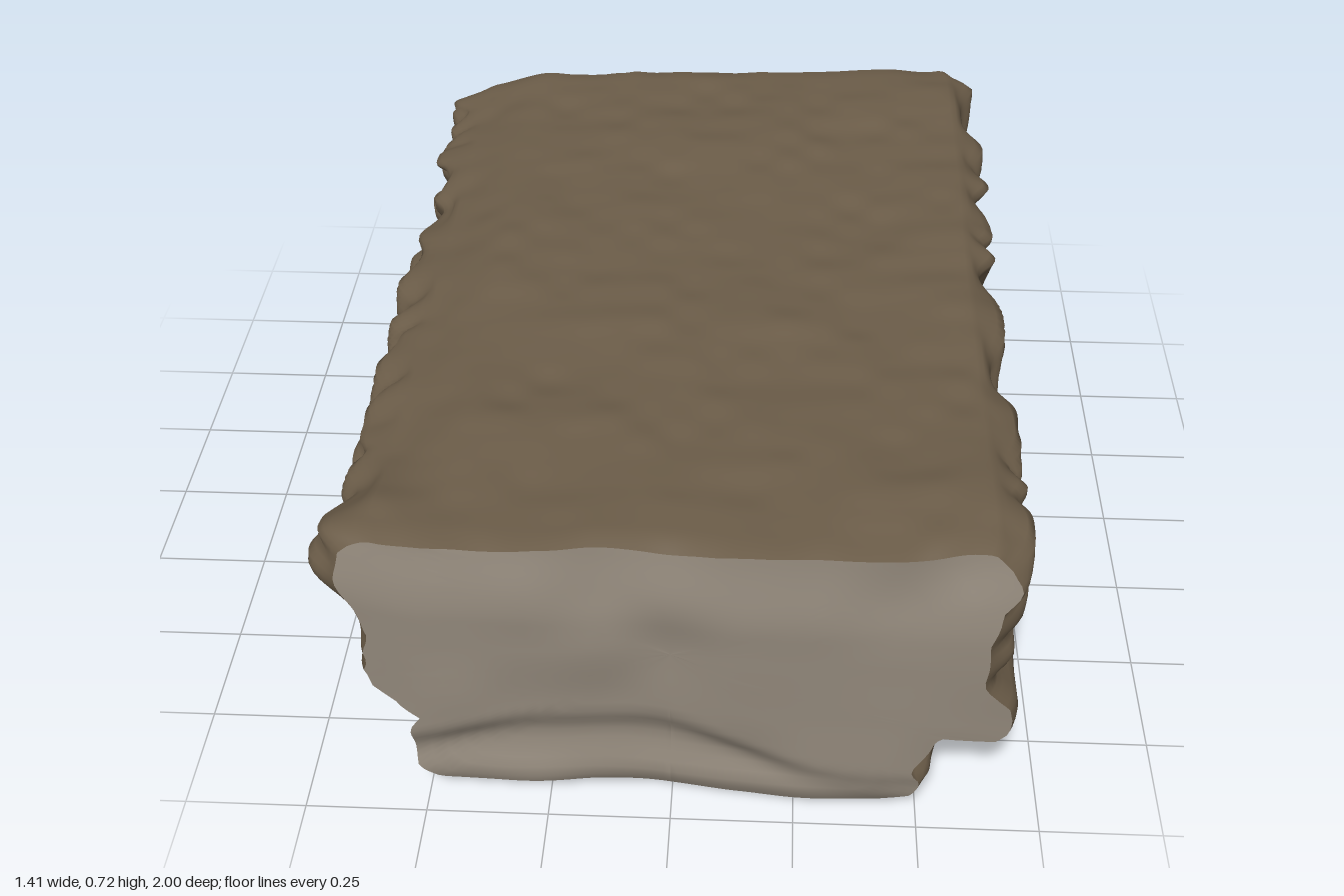
import * as THREE from 'three';

const AROUND = 250, ALONG = 165, RINGS = 16;
const { clamp, lerp, smoothstep } = THREE.MathUtils;
const bump = (d, w) => Math.exp(-(d * d) / (w * w));

// Seeded value noise for the weathering
function hash(x, y, z) {
  const s = Math.sin(x * 127.1 + y * 311.7 + z * 74.7) * 43758.5453;
  return s - Math.floor(s);
}
function noise(x, y, z) {
  const i = [x, y, z].map(Math.floor);
  const [u, v, w] = [x - i[0], y - i[1], z - i[2]].map(f => f * f * (3 - 2 * f));
  const h = (a, b, c) => hash(i[0] + a, i[1] + b, i[2] + c);
  const face = c => lerp(lerp(h(0, 0, c), h(1, 0, c), u), lerp(h(0, 1, c), h(1, 1, c), u), v);
  return lerp(face(0), face(1), w) * 2 - 1;
}

// Cross-section, counter-clockwise seen from +z
const SECTION = [
  [0.44, 0.04], [0.5, 0.06], [0.53, 0.11], [0.53, 0.235], [0.545, 0.255], [0.655, 0.25],
  [0.68, 0.275], [0.685, 0.31], [0.675, 0.345], [0.65, 0.365], [0.625, 0.39], [0.625, 0.46],
  [0.64, 0.6], [0.655, 0.675], [0.62, 0.705], [0.3, 0.69], [0, 0.678], [-0.3, 0.67], [-0.59, 0.668],
  [-0.645, 0.625], [-0.645, 0.56], [-0.63, 0.43], [-0.66, 0.385], [-0.665, 0.335], [-0.62, 0.295],
  [-0.545, 0.26], [-0.525, 0.23], [-0.525, 0.07], [-0.49, 0.04], [0, 0.035],
];

// Evenly spaced points round the section
function sampleSection() {
  const path = new THREE.CurvePath();
  const pts = SECTION.map(p => new THREE.Vector2(...p));
  pts.forEach((p, i) => path.add(new THREE.LineCurve(p, pts[(i + 1) % pts.length])));
  return Array.from({ length: AROUND }, (_, i) => path.getPointAt(i / AROUND));
}

// Scrolling vine stems on the upper band, as (z, y) curves
const STEMS = [
  [[0.97, 0.62], [0.86, 0.67], [0.78, 0.58], [0.84, 0.49], [0.93, 0.45]],
  [[0.74, 0.66], [0.66, 0.56], [0.7, 0.47], [0.58, 0.43]],
  [[0.62, 0.65], [0.54, 0.68], [0.45, 0.64], [0.46, 0.57]],
  [[0.5, 0.42], [0.36, 0.45], [0.32, 0.57], [0.2, 0.66], [0.06, 0.64], [0, 0.54], [0.06, 0.45]],
  [[-0.1, 0.67], [-0.16, 0.56], [-0.26, 0.47], [-0.4, 0.43]],
  [[-0.2, 0.66], [-0.32, 0.62], [-0.42, 0.53], [-0.55, 0.48], [-0.63, 0.52]],
  [[-0.42, 0.67], [-0.52, 0.62], [-0.62, 0.66], [-0.7, 0.58], [-0.72, 0.45]],
  [[-0.95, 0.66], [-0.84, 0.6], [-0.77, 0.5], [-0.88, 0.43]],
].map(s => new THREE.SplineCurve(s.map(p => new THREE.Vector2(...p))).getPoints(45));

// Leaf bodies: z, y, half length, half height
const LEAVES = [[0.9, 0.56, 0.09, 0.09], [0.18, 0.53, 0.14, 0.08], [0.55, 0.49, 0.07, 0.06],
  [-0.3, 0.54, 0.07, 0.05], [-0.55, 0.57, 0.1, 0.05], [-0.88, 0.53, 0.09, 0.08], [0.64, 0.63, 0.06, 0.05]];

function vine(z, y) {
  let d = 1;
  for (const stem of STEMS) for (const p of stem) d = Math.min(d, Math.hypot(p.x - z, p.y - y));
  let h = 0.045 * bump(d, 0.042);
  for (const [cz, cy, a, b] of LEAVES) {
    const r = Math.hypot((z - cz) / a, (y - cy) / b);
    h = Math.max(h, 0.045 * (1 - smoothstep(r, 0.4, 1.2)));
  }
  return h - 0.012 - 0.035 * bump(Math.hypot(z - 0.48, y - 0.6), 0.03);
}

// Slanted leaf tongues along the lower band
function tongue(z, y) {
  const s = (z + 0.03 + (y - 0.25) * 0.45) / 0.237;
  const f = s - Math.floor(s);
  const groove = bump(f, 0.14) + bump(f - 1, 0.08);
  return 0.016 * bump(f - 0.4, 0.25) - 0.045 * groove * smoothstep(y, 0.08, 0.16) - 0.004;
}

// Carved foliage on the sunk underside: fans of ribs around a centre
function foliage(x, z) {
  const r = Math.hypot(x, z * 0.65), a = Math.atan2(x, z * 0.65);
  const ribs = Math.sin(7 * a + 9 * r) * smoothstep(r, 0.05, 0.2);
  const arcs = Math.sin(30 * r + 1.5 * Math.sin(3 * a));
  const panel = (1 - smoothstep(Math.abs(x), 0.34, 0.45)) * (1 - smoothstep(Math.abs(z), 0.75, 0.95));
  return (0.016 + 0.012 * ribs + 0.009 * arcs) * panel;
}

// Rough end faces
function frontZ(x, y) {
  const lip = 0.235 - 0.12 * smoothstep(x, -0.05, 0.4) - 0.08 * (1 - smoothstep(x, -0.6, -0.25));
  const hollow = smoothstep(lip - y, -0.03, 0.05) * smoothstep(y, 0.03, 0.18);
  return 0.97 + 0.022 * smoothstep(x, -0.4, 0.3) - 0.028 * smoothstep(y, 0.5, 0.71)
    - 0.035 * (1 - smoothstep(x, -0.66, -0.45)) - 0.03 * hollow - 0.02 * bump(x + 0.05, 0.14)
    - 0.03 * (1 - smoothstep(y, 0.02, 0.09)) + 0.008 * noise(x * 7, y * 7, 3);
}
function backZ(x, y) {
  return -0.993 + 0.016 * smoothstep(y, 0.45, 0.71) + 0.006 * noise(x * 6, y * 6, 9)
    + 0.008 * bump(x + 0.22, 0.02);
}

// Carve, weather and place one point of the section at t along the length
function surfacePoint(p, t) {
  let { x, y } = p;
  const z = lerp(-0.985, 0.98, t), side = Math.sign(x), zs = z * side;
  const upper = smoothstep(y, 0.375, 0.42) * (1 - smoothstep(y, 0.675, 0.7)) * smoothstep(Math.abs(x), 0.58, 0.62);
  const lower = smoothstep(y, 0.045, 0.09) * (1 - smoothstep(y, 0.22, 0.25)) * smoothstep(Math.abs(x), 0.46, 0.52);
  const under = 1 - smoothstep(p.y, 0.04, 0.07);
  const top = smoothstep(p.y, 0.64, 0.665);
  if (upper > 0) x += side * upper * vine(zs, y);
  if (lower > 0) x += side * lower * tongue(zs, y);
  // upper right edge stands out further toward the back
  x += 0.008 * smoothstep(p.x, 0.5, 0.62) * smoothstep(p.y, 0.58, 0.66) * smoothstep(-z, 0.1, 0.35);
  // left roll broken away near the front, with a swollen leaf above
  const left = smoothstep(-p.x, 0.5, 0.58);
  x += left * (0.045 * bump(p.y - 0.35, 0.06) * smoothstep(z, 0.45, 0.75)
    - 0.035 * bump(p.y - 0.56, 0.07) * smoothstep(z, 0.72, 0.93));
  // sagging underside
  y += (1 - smoothstep(p.y, 0.03, 0.2)) * (-0.03 * bump(z - 0.6, 0.3) * bump(p.x - 0.08, 0.35)
    + 0.025 * smoothstep(-z, 0.4, 1) + 0.006 * Math.cos(z * 26.5));
  // foliage panel and tilted roll
  y += under * foliage(x, z) + (0.008 - 0.02 * z) * bump(p.y - 0.31, 0.09) * smoothstep(p.x, 0.5, 0.56);
  // worn upper left edge
  y -= 0.045 * smoothstep(-p.x, 0.42, 0.62) * smoothstep(p.y, 0.5, 0.66) * (1 - smoothstep(z, 0.65, 0.95));
  // lower left edge worn back, with a deeper chip near the back
  const worn = 0.4 * smoothstep(z, -0.95, -0.8) * (1 - smoothstep(z, 0.82, 0.97)) + 0.75 * bump(z + 0.78, 0.12);
  const chip = worn * smoothstep(-p.x, 0.25, 0.5) * (1 - smoothstep(p.y, 0.1, 0.25));
  y += 0.1 * chip;
  x += 0.055 * chip;
  const rough = 0.011 * noise(p.x * 5, p.y * 5, z * 5) + 0.005 * noise(p.x * 14, p.y * 14, z * 14);
  x += side * rough * (1 - top) * (side < 0 ? 1.6 : 0.6);
  y += rough * (top + under * 0.8);
  // worn arrises at both ends
  const wear = 1 - 0.025 * Math.pow(clamp(1 - Math.min(t, 1 - t) / 0.03, 0, 1), 2);
  x *= wear;
  y = 0.4 + (y - 0.4) * wear;
  return [x, Math.max(y, 0), lerp(backZ(x, y), frontZ(x, y), t)];
}

// Surface through closed rings of equal length
function skin(rings, flip = false) {
  const index = [];
  for (let j = 0; j < rings.length - 1; j++) for (let i = 0; i < AROUND; i++) {
    const a = j * AROUND + i, b = j * AROUND + (i + 1) % AROUND, c = a + AROUND, d = b + AROUND;
    index.push(...(flip ? [a, c, b, b, c, d] : [a, b, c, b, d, c]));
  }
  const g = new THREE.BufferGeometry();
  g.setAttribute('position', new THREE.Float32BufferAttribute(rings.flat(2), 3));
  g.setIndex(index);
  g.computeVertexNormals();
  return g;
}

// End face: rings shrinking from the rim to the middle
function endFace(rim, zAt, flip) {
  const rings = Array.from({ length: RINGS + 1 }, (_, k) => rim.map(([x, y, z]) => {
    const s = 1 - k / RINGS, px = x * s, py = lerp(0.42, y, s);
    return [px, py, k ? zAt(px, py) : z];
  }));
  return skin(rings, flip);
}

export function createModel() {
  const group = new THREE.Group();
  group.name = 'carvedStoneBlock';
  const stone = new THREE.MeshStandardMaterial({ color: 0x6c5d49 });
  const cutStone = new THREE.MeshStandardMaterial({ color: 0x91877a });
  const add = (name, geometry, material) => {
    const mesh = new THREE.Mesh(geometry, material);
    mesh.name = name;
    group.add(mesh);
  };
  const section = sampleSection();
  const rings = Array.from({ length: ALONG + 1 }, (_, j) => section.map(p => surfacePoint(p, j / ALONG)));
  add('carvedBody', skin(rings), stone);
  add('frontEnd', endFace(rings[ALONG], frontZ, false), cutStone);
  add('backEnd', endFace(rings[0], backZ, true), cutStone);
  return group;
}
